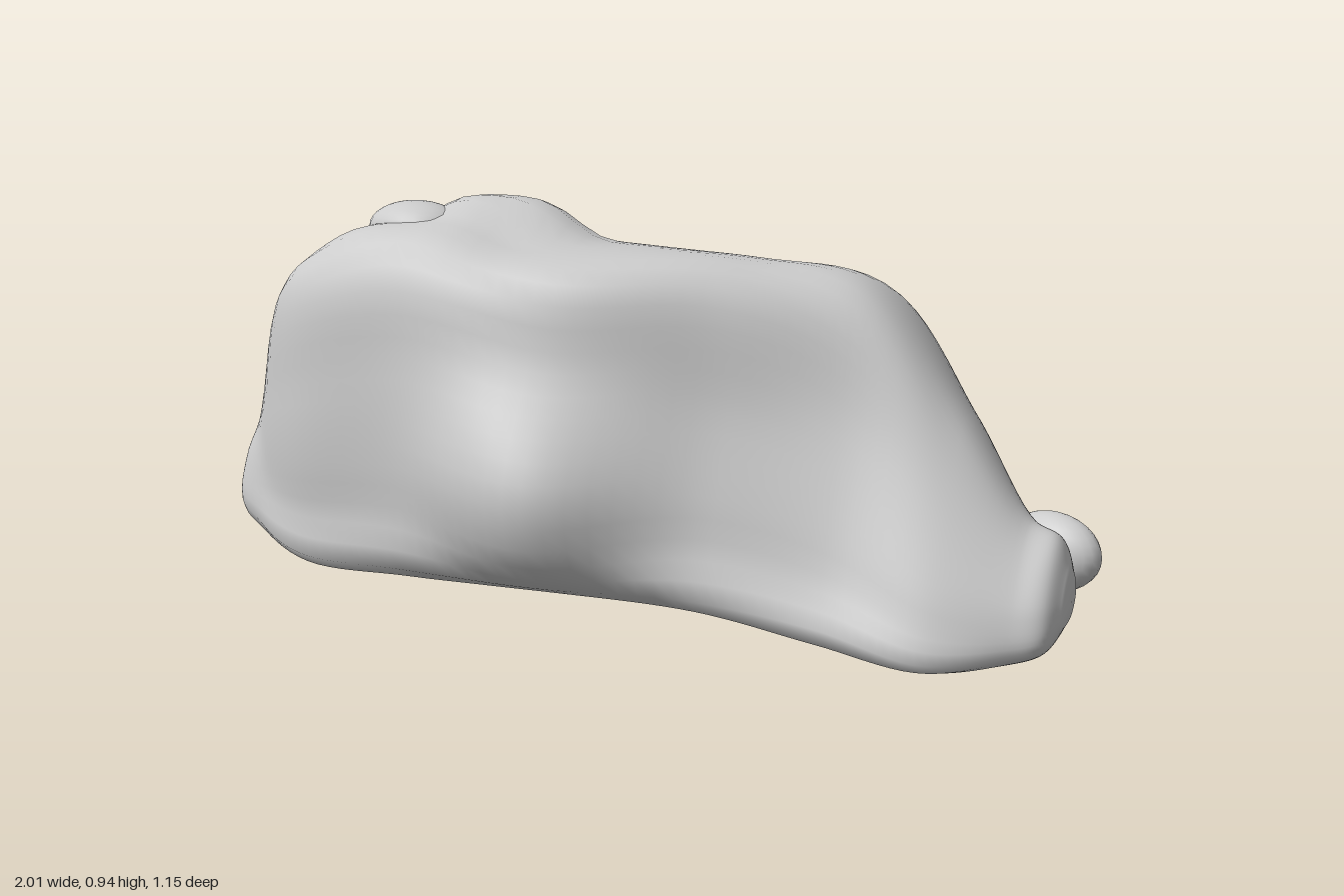
import * as THREE from 'three';

const AROUND = 64, ALONG = 90;

// Cross-sections along x: x, then eight (z, y) pairs going front foot, front bulge,
// front face, front shoulder, back shoulder, back slope, back bulge, back foot
const SECTIONS = [
  [-0.95, 0.24, 0.16, 0.25, 0.3, 0.22, 0.45, 0.14, 0.61, -0.08, 0.62, -0.18, 0.49, -0.22, 0.32, -0.17, 0.17],
  [-0.75, 0.34, 0.1, 0.4, 0.25, 0.41, 0.5, 0.35, 0.79, -0.03, 0.78, -0.24, 0.63, -0.42, 0.36, -0.38, 0.12],
  [-0.45, 0.37, 0.1, 0.46, 0.28, 0.45, 0.6, 0.38, 0.83, 0, 0.84, -0.28, 0.64, -0.54, 0.28, -0.44, 0.1],
  [-0.09, 0.36, 0.1, 0.56, 0.32, 0.44, 0.6, 0.35, 0.82, -0.03, 0.83, -0.31, 0.66, -0.55, 0.27, -0.44, 0.09],
  [0.24, 0.35, 0.09, 0.39, 0.27, 0.3, 0.52, 0.22, 0.8, -0.08, 0.8, -0.33, 0.65, -0.54, 0.27, -0.43, 0.09],
  [0.5, 0.34, 0.05, 0.32, 0.2, 0.21, 0.5, 0.11, 0.76, -0.15, 0.74, -0.33, 0.58, -0.47, 0.28, -0.39, 0.1],
  [0.72, 0.32, 0.01, 0.33, 0.13, 0.22, 0.35, 0.1, 0.51, -0.06, 0.49, -0.18, 0.37, -0.26, 0.21, -0.16, 0.06],
  [0.88, 0.26, 0.03, 0.27, 0.13, 0.19, 0.25, 0.1, 0.3, 0.01, 0.27, -0.06, 0.19, -0.06, 0.11, 0.05, 0.03],
];

// Local swellings of the skin: centre, radii, push
const SWELLS = [
  [[-0.35, 0.86, 0.11], [0.19, 0.3, 0.12], [0, 0.085, 0]],
  [[-0.5, 0.84, 0.3], [0.2, 0.2, 0.12], [0, 0.04, 0]],
  [[-0.16, 0.35, 0.54], [0.2, 0.25, 0.2], [0, 0, 0.015]],
  [[-0.95, 0.24, 0.18], [0.12, 0.13, 0.12], [-0.03, 0, 0.02]],
  [[-0.95, 0.5, -0.15], [0.15, 0.15, 0.13], [-0.03, 0, -0.02]],
  [[0.24, 0.26, -0.53], [0.13, 0.12, 0.12], [0, 0, -0.025]],
];

function swell(p) {
  const source = p.clone();
  for (const [centre, radii, push] of SWELLS) {
    const q = new THREE.Vector3(...centre).sub(source).divide(new THREE.Vector3(...radii)).lengthSq();
    p.addScaledVector(new THREE.Vector3(...push), Math.exp(-q * q));
  }
  return p;
}

// Smooth closed skin lofted through the cross-sections
function bodyGeometry() {
  const loops = SECTIONS.map(([x, ...zy]) => {
    const points = [];
    for (let i = 0; i < zy.length; i += 2) points.push(new THREE.Vector3(x, zy[i + 1], zy[i]));
    return new THREE.CatmullRomCurve3(points, true, 'catmullrom', 0.5).getSpacedPoints(AROUND).slice(0, AROUND);
  });

  // Shrunken rings round off both ends
  const shrunk = (loop, scale, x, y, z) =>
    loop.map((p) => new THREE.Vector3(x, y, z).lerp(new THREE.Vector3(x, p.y, p.z), scale));
  const left = loops[0], right = loops[loops.length - 1];
  loops.unshift(shrunk(left, 0.3, -0.982, 0.38, 0.02), shrunk(left, 0.7, -0.973, 0.38, 0.02));
  loops.push(shrunk(right, 0.8, 0.945, 0.14, 0.12), shrunk(right, 0.4, 0.975, 0.14, 0.12));
  const rails = loops[0].map((_, j) => new THREE.CatmullRomCurve3(loops.map((loop) => loop[j])));

  const positions = [], index = [];
  for (let i = 0; i <= ALONG; i++) {
    for (const rail of rails) positions.push(...swell(rail.getPoint(i / ALONG)));
  }
  for (let i = 0; i < ALONG; i++) {
    for (let j = 0; j < AROUND; j++) {
      const k = (j + 1) % AROUND;
      const a = i * AROUND + j, b = i * AROUND + k;
      const c = a + AROUND, d = b + AROUND;
      index.push(a, c, b, c, d, b);
    }
  }

  // Close the ends
  const leftPole = positions.length / 3, rightPole = leftPole + 1;
  positions.push(-0.985, 0.38, 0.02, 0.982, 0.14, 0.12);
  const last = ALONG * AROUND;
  for (let j = 0; j < AROUND; j++) {
    const k = (j + 1) % AROUND;
    index.push(leftPole, j, k, rightPole, last + k, last + j);
  }

  const geometry = new THREE.BufferGeometry();
  geometry.setAttribute('position', new THREE.Float32BufferAttribute(positions, 3));
  geometry.setIndex(index);
  geometry.computeVertexNormals();
  return geometry;
}

export function createModel() {
  const group = new THREE.Group();
  group.name = 'boulder';
  const material = new THREE.MeshStandardMaterial({ color: 0xcccccc });

  const body = new THREE.Mesh(bodyGeometry(), material);
  body.name = 'body';
  group.add(body);

  // Rounded knobs: name, centre, radii, turn about y
  const ball = new THREE.SphereGeometry(1, 24, 16);
  const knobs = [
    ['topKnob', [-0.53, 0.875, 0.2], [0.12, 0.06, 0.09], -0.2],
    ['toeKnob', [0.88, 0.17, -0.15], [0.125, 0.09, 0.07], -0.4],
    ['backKnob', [0.53, 0.18, -0.44], [0.09, 0.06, 0.07], 0.4],
    ['leftEndKnob', [-0.93, 0.24, 0.19], [0.065, 0.09, 0.09], 0],
  ];
  for (const [name, centre, radii, turn] of knobs) {
    const knob = new THREE.Mesh(ball, material);
    knob.name = name;
    knob.position.set(...centre);
    knob.scale.set(...radii);
    knob.rotation.y = turn;
    group.add(knob);
  }
  return group;
}
